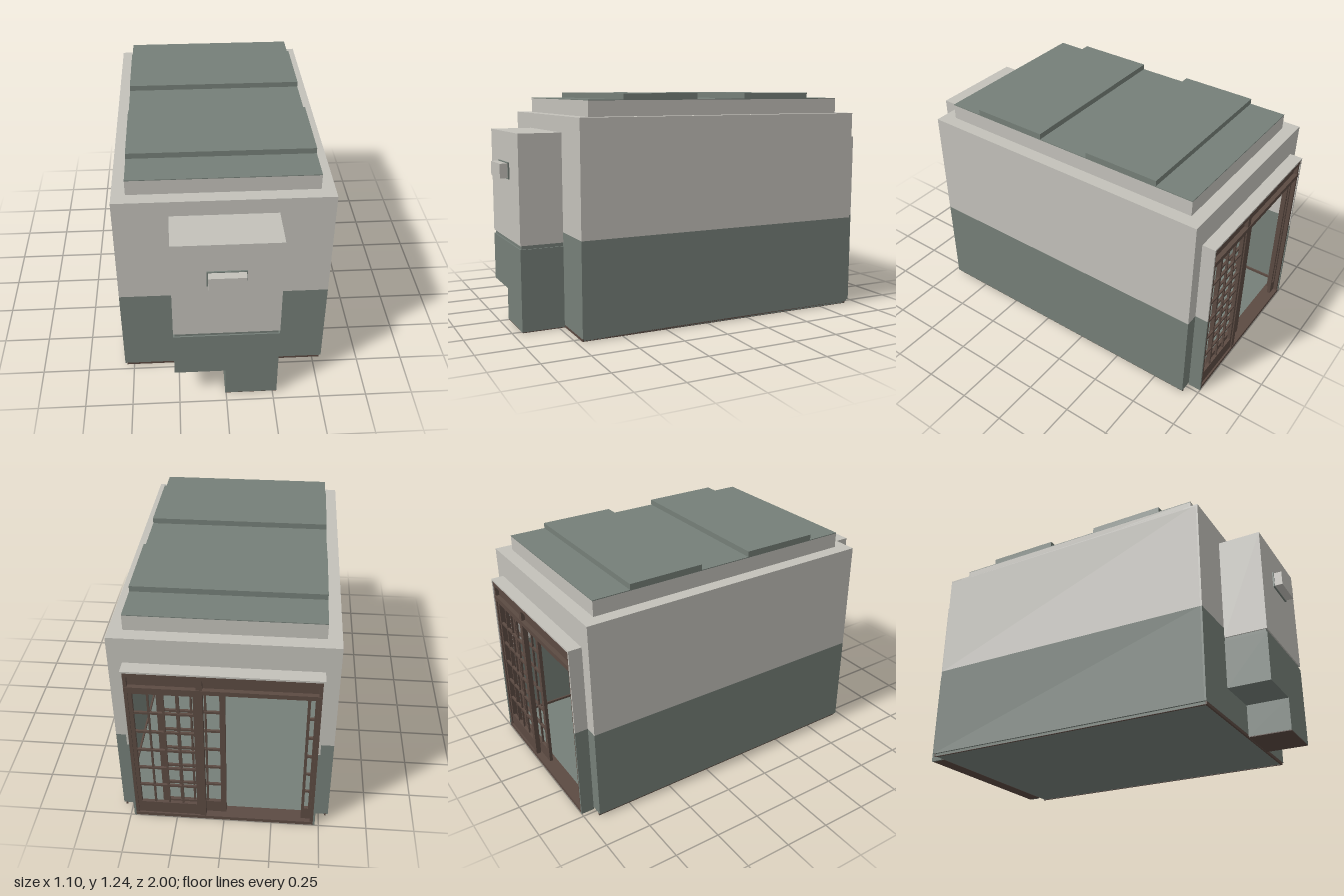
import * as THREE from 'three';

const mat = (name, color) => {
  const m = new THREE.MeshStandardMaterial({ color });
  m.name = name;
  return m;
};

export function createModel() {
  const root = new THREE.Group();
  root.name = 'room';
  const plaster = mat('plaster', 0xc3c1ba);
  const green = mat('sageGreen', 0x757f78);
  const wood = mat('wood', 0x5b4a42);
  const T = 0.01; // shell thickness

  // Box given by its limits on each axis
  const box = (parent, name, m, x0, x1, y0, y1, z0, z1) => {
    const mesh = new THREE.Mesh(new THREE.BoxGeometry(x1 - x0, y1 - y0, z1 - z0), m);
    mesh.position.set((x0 + x1) / 2, (y0 + y1) / 2, (z0 + z1) / 2);
    mesh.name = name;
    parent.add(mesh);
    return mesh;
  };
  const group = (name) => {
    const g = new THREE.Group();
    g.name = name;
    root.add(g);
    return g;
  };

  // Walls in two painted bands, open at the back for the doorway
  const SPLIT = 0.515, EAVE = 1.12, W = 0.55, ZF = 0.72, ZB = -0.93;
  const DW = 0.48, DH = 0.98; // doorway half width and height
  const walls = group('walls');
  for (const [label, m, y0, y1] of [['lower', green, 0.015, SPLIT], ['upper', plaster, SPLIT, EAVE]]) {
    box(walls, label + 'FrontWall', m, -W, W, y0, y1, ZF - T, ZF);
    for (const s of [-1, 1]) {
      const [a, b] = s < 0 ? [-W, -W + T] : [W - T, W];
      box(walls, label + 'SideWall', m, a, b, y0, y1, ZB, ZF - T);
      const [c, d] = s < 0 ? [-W + T, -DW] : [DW, W - T];
      box(walls, label + 'BackWall', m, c, d, y0, y1, ZB, ZB + T);
    }
  }
  box(walls, 'wallAboveDoor', plaster, -DW, DW, DH, EAVE, ZB, ZB + T);

  // Floor and wooden plinth
  box(root, 'floor', green, -0.54, 0.54, 0.002, 0.016, ZB + 0.01, ZF - 0.01);
  for (const s of [-1, 1]) {
    box(root, 'sidePlinth', wood, s * 0.535 - 0.005, s * 0.535 + 0.005, 0, 0.03, ZB + 0.002, ZF - 0.002);
  }
  box(root, 'frontPlinth', wood, -0.54, 0.54, 0, 0.03, ZF - 0.012, ZF - 0.002);

  // Stepped roof: flat ledge, raised rim and green top
  const roof = group('roof');
  const RW = 0.48, RF = 0.65, RB = -0.86, TOP = 1.205;
  const frame = (name, m, x, xi, y0, y1, zb, zbi, zf, zfi) => {
    box(roof, name, m, -x, x, y0, y1, zfi, zf);
    box(roof, name, m, -x, x, y0, y1, zb, zbi);
    box(roof, name, m, -x, -xi, y0, y1, zbi, zfi);
    box(roof, name, m, xi, x, y0, y1, zbi, zfi);
  };
  frame('roofLedge', plaster, W, RW - T, EAVE - T, EAVE, ZB, RB + T, ZF, RF - T);
  frame('roofRim', plaster, RW, RW - T, EAVE, TOP - 0.004, RB, RB + T, RF, RF - T);
  box(roof, 'roofTop', green, -RW, RW, TOP - 0.004, TOP, RB, RF);
  for (const [z0, z1] of [[0.04, 0.46], [-0.66, -0.25]]) {
    box(roof, 'roofSlab', green, -RW, RW, TOP, 1.235, z0, z1);
  }

  // Front projection with a notch at its lower corner
  const bay = group('frontBay');
  const B = 0.272, BZ = 0.95;
  box(bay, 'bayUpper', plaster, -B, B, 0.46, 1.035, ZF, BZ);
  box(bay, 'bayJoint', green, -B + 0.007, B - 0.007, 0.44, 0.46, ZF, BZ - 0.007);
  const foot = new THREE.Shape();
  [[-B, 0.44], [-B, 0.177], [-0.005, 0.177], [-0.005, 0.004], [B, 0.004], [B, 0.44]]
    .forEach(([x, y], i) => (i ? foot.lineTo(x, y) : foot.moveTo(x, y)));
  const lower = new THREE.Mesh(
    new THREE.ExtrudeGeometry(foot, { depth: BZ - ZF, bevelEnabled: false }), green);
  lower.position.z = ZF;
  lower.name = 'bayLower';
  bay.add(lower);
  box(bay, 'bayUnderside', wood, -0.004, B, 0, 0.004, ZF, BZ - 0.002);
  box(bay, 'ventBacking', green, -0.1, 0.097, 0.787, 0.875, BZ, BZ + 0.008);
  box(bay, 'ventBox', plaster, -0.094, 0.092, 0.793, 0.87, BZ + 0.008, 1);

  // Thin painted surround of the doorway
  const door = group('doorway');
  for (const s of [-1, 1]) {
    const x0 = s * (DW - 0.005) - 0.005;
    box(door, 'lowerSurround', green, x0, x0 + T, 0, SPLIT, -1, ZB);
    box(door, 'upperSurround', plaster, x0, x0 + T, SPLIT, DH, -1, ZB);
  }
  box(door, 'surroundTop', plaster, -DW + T, DW - T, DH - T, DH, -1, ZB);

  // Wooden door frame: sill, header with recessed panel, jambs and post
  const J = 0.47;
  box(door, 'sill', wood, -J, J, 0, 0.02, -0.998, ZB + 0.01);
  box(door, 'headBeam', wood, -J, J, 0.945, 0.97, -0.998, ZB);
  box(door, 'headPanel', wood, -J, J, 0.885, 0.945, -0.975, -0.955);
  box(door, 'headRail', wood, -J, J, 0.86, 0.885, -0.998, ZB);
  for (const s of [-1, 1]) {
    box(door, 'jamb', wood, s * 0.462 - 0.008, s * 0.462 + 0.008, 0.02, 0.945, -0.995, ZB);
  }
  box(door, 'post', wood, 0.095, 0.125, 0.02, 0.945, -0.995, -0.968);

  // Lattice panel: stiles, rails, kick board, upright bars and cross bars
  const lattice = (name, x0, x1, z, stile, uprights, kick) => {
    const g = new THREE.Group();
    g.name = name;
    door.add(g);
    const y0 = 0.02, y1 = 0.86, base = y0 + kick, h = 0.009;
    box(g, 'stile', wood, x0, x0 + stile, y0, y1, z - h, z + h);
    box(g, 'stile', wood, x1 - stile, x1, y0, y1, z - h, z + h);
    box(g, 'topRail', wood, x0 + stile, x1 - stile, y1 - 0.02, y1, z - h, z + h);
    box(g, 'kickBoard', wood, x0 + stile, x1 - stile, y0, base, z - h, z + h);
    for (let i = 1; i <= uprights; i++) {
      const x = x0 + stile + ((x1 - x0 - 2 * stile) * i) / (uprights + 1);
      box(g, 'upright', wood, x - 0.005, x + 0.005, base, y1 - 0.02, z - 0.005, z + 0.005);
    }
    for (let i = 1; i <= 5; i++) {
      const y = base + ((y1 - 0.02 - base) * i) / 6;
      box(g, 'crossBar', wood, x0 + stile, x1 - stile, y - 0.006, y + 0.006, z - 0.006, z + 0.006);
    }
  };
  lattice('fixedDoor', 0.122, 0.455, -0.98, 0.02, 3, 0.075);
  lattice('slidingDoor', -0.01, 0.325, -0.952, 0.028, 3, 0.075);
  lattice('narrowSidePanel', -0.455, -0.405, -0.965, 0.014, 0, 0.075);

  return root;
}
